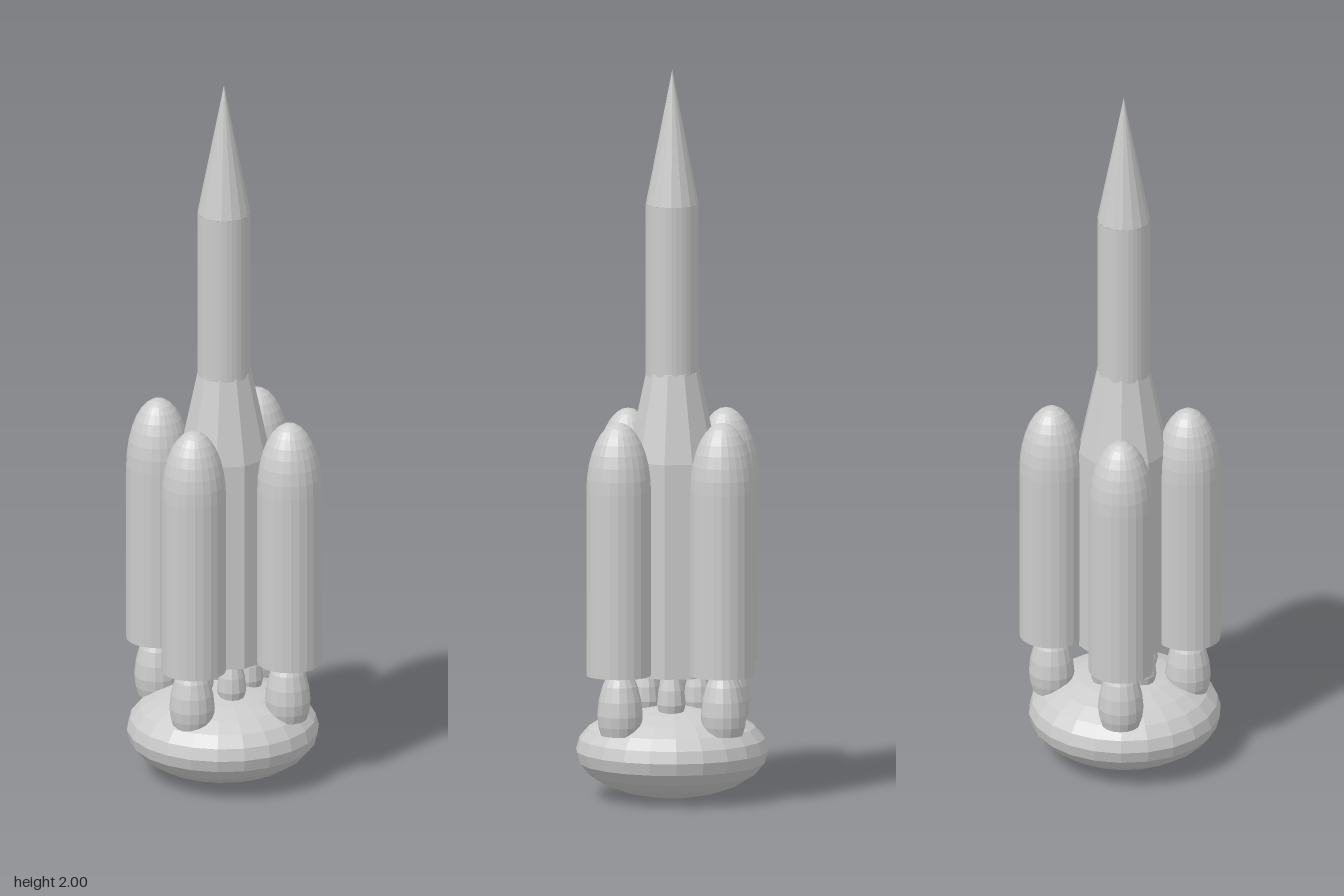
import * as THREE from 'three';

const material = new THREE.MeshStandardMaterial({ color: 0xcccccc, flatShading: true });

// Surface of revolution from [radius, height] pairs, listed bottom to top
function lathe(name, profile, sides) {
  const points = profile.map(([r, y]) => new THREE.Vector2(r, y));
  const mesh = new THREE.Mesh(new THREE.LatheGeometry(points, sides), material);
  mesh.name = name;
  return mesh;
}

// Straight tank with a flat bottom and an elongated dome on top
function boosterProfile(radius, bottom, shoulder, top) {
  const profile = [[0, bottom], [radius, bottom]];
  const steps = 8;
  for (let i = 0; i <= steps; i++) {
    const a = (i / steps) * Math.PI / 2;
    profile.push([i === steps ? 0 : radius * Math.cos(a), shoulder + (top - shoulder) * Math.sin(a)]);
  }
  return profile;
}

// Egg-shaped bell, cut flat at the bottom
const bellProfile = [
  [0, 0.19], [0.052, 0.19], [0.059, 0.215], [0.062, 0.245], [0.058, 0.285],
  [0.048, 0.325], [0.034, 0.355], [0, 0.37],
];
const smallBellProfile = [
  [0, 0.235], [0.033, 0.235], [0.04, 0.265], [0.036, 0.305], [0.025, 0.345], [0, 0.355],
];

export function createModel() {
  const model = new THREE.Group();
  model.name = 'rocket';

  // Flattened ellipsoid under the engines
  const base = new THREE.Mesh(new THREE.SphereGeometry(1, 22, 12), material);
  base.name = 'exhaustCloud';
  base.scale.set(0.262, 0.128, 0.262);
  base.position.set(-0.002, 0.128, 0.012);
  model.add(base);

  // Ten-sided core stage with tapered shoulder
  const core = lathe('coreStage', [[0, 0.34], [0.124, 0.34], [0.124, 0.93], [0.073, 1.17], [0, 1.17]], 10);
  core.rotation.y = Math.PI / 2;
  core.position.z = 0.007;
  model.add(core);

  // Slim upper stage and pointed nose
  const upper = lathe('upperStage', [[0.072, 1.16], [0.072, 1.63]], 32);
  const nose = lathe('noseCone', [[0.072, 1.63], [0, 2]], 16);
  upper.position.z = nose.position.z = 0.009;
  model.add(upper, nose);

  // Four strap-on boosters, each with its bell
  const profile = boosterProfile(0.088, 0.355, 0.86, 1.05);
  const places = [
    ['left', 0.201, 0.009], ['right', -0.201, 0.009],
    ['front', -0.001, 0.184], ['back', -0.001, -0.187],
  ];
  for (const [side, x, z] of places) {
    const booster = new THREE.Group();
    booster.name = `${side}Booster`;
    booster.position.set(x, 0, z);
    const bell = lathe('boosterNozzle', bellProfile, 16);
    bell.position.x = -0.005;
    booster.add(lathe('boosterTank', profile, 24), bell);
    model.add(booster);
  }

  // Four small bells beneath the core
  for (const sx of [-1, 1]) {
    for (const sz of [-1, 1]) {
      const bell = lathe('coreNozzle', smallBellProfile, 12);
      bell.position.set(sx * 0.05, 0, 0.01 + sz * 0.05);
      model.add(bell);
    }
  }

  return model;
}
